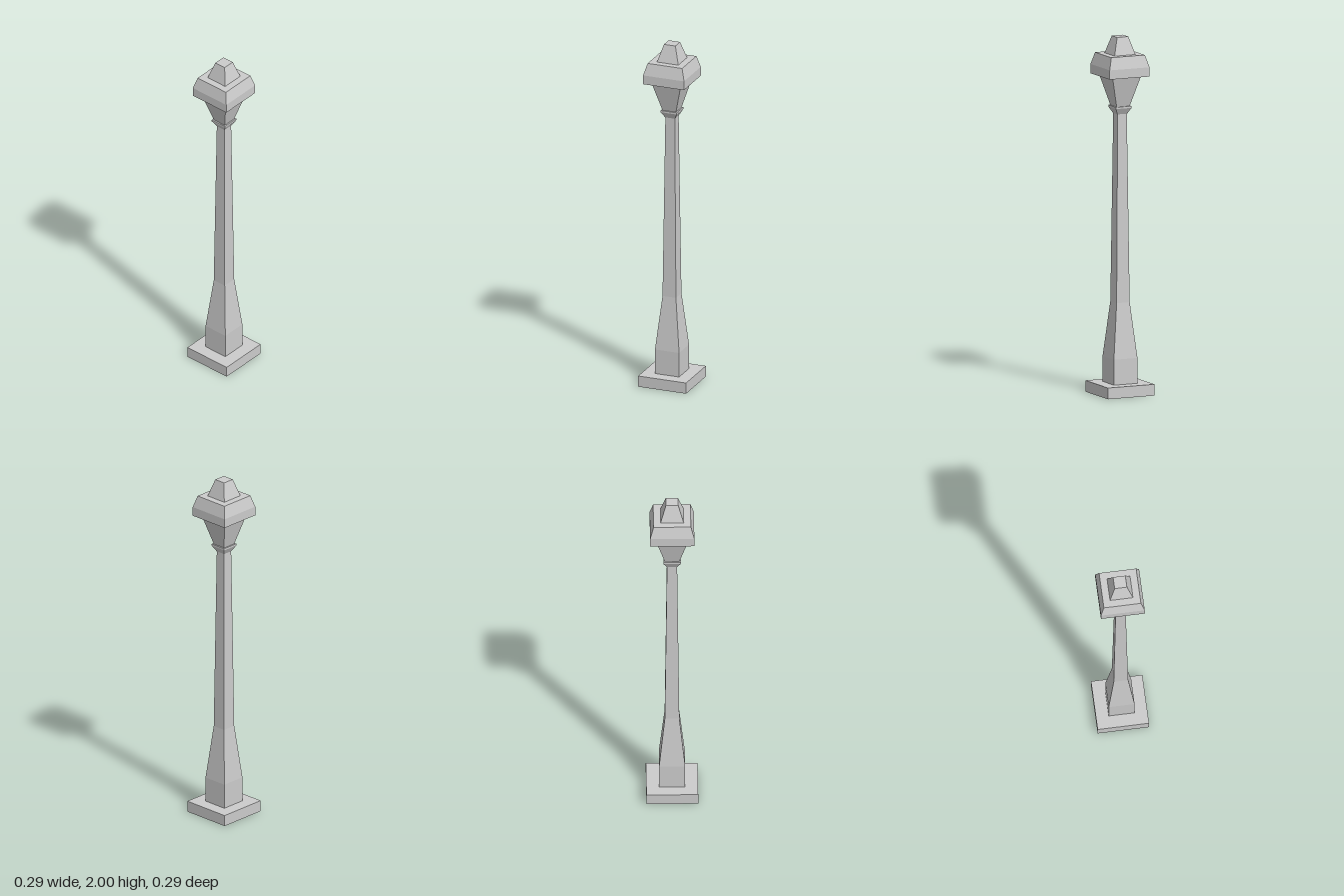
import * as THREE from 'three';

const material = new THREE.MeshStandardMaterial({ color: 0xcccccc, flatShading: true });

// Closed square solid from [half width, height] steps, listed bottom to top.
function squareStack(name, steps) {
  const first = steps[0], last = steps[steps.length - 1];
  const profile = [[0, first[1]], ...steps, [0, last[1]]]
    .map(([half, y]) => new THREE.Vector2(half * Math.SQRT2, y));
  const geometry = new THREE.LatheGeometry(profile, 4, Math.PI / 4).toNonIndexed();
  geometry.computeVertexNormals();
  const mesh = new THREE.Mesh(geometry, material);
  mesh.name = name;
  return mesh;
}

export function createModel() {
  const group = new THREE.Group();
  group.name = 'lampPost';
  group.add(
    // Footing slab and tapering shaft
    squareStack('base', [[0.143, 0], [0.143, 0.063]]),
    squareStack('post', [[0.072, 0.063], [0.072, 0.205], [0.04, 0.515], [0.028, 1.57]]),
    // Flared collar that carries the lantern
    squareStack('collar', [[0.029, 1.568], [0.048, 1.602], [0.048, 1.612]]),
    squareStack('lantern', [[0.04, 1.612], [0.087, 1.783]]),
    // Overhanging roof and its finial
    squareStack('roof', [[0.122, 1.783], [0.122, 1.835], [0.103, 1.902]]),
    squareStack('finial', [[0.064, 1.902], [0.034, 2]])
  );
  return group;
}
